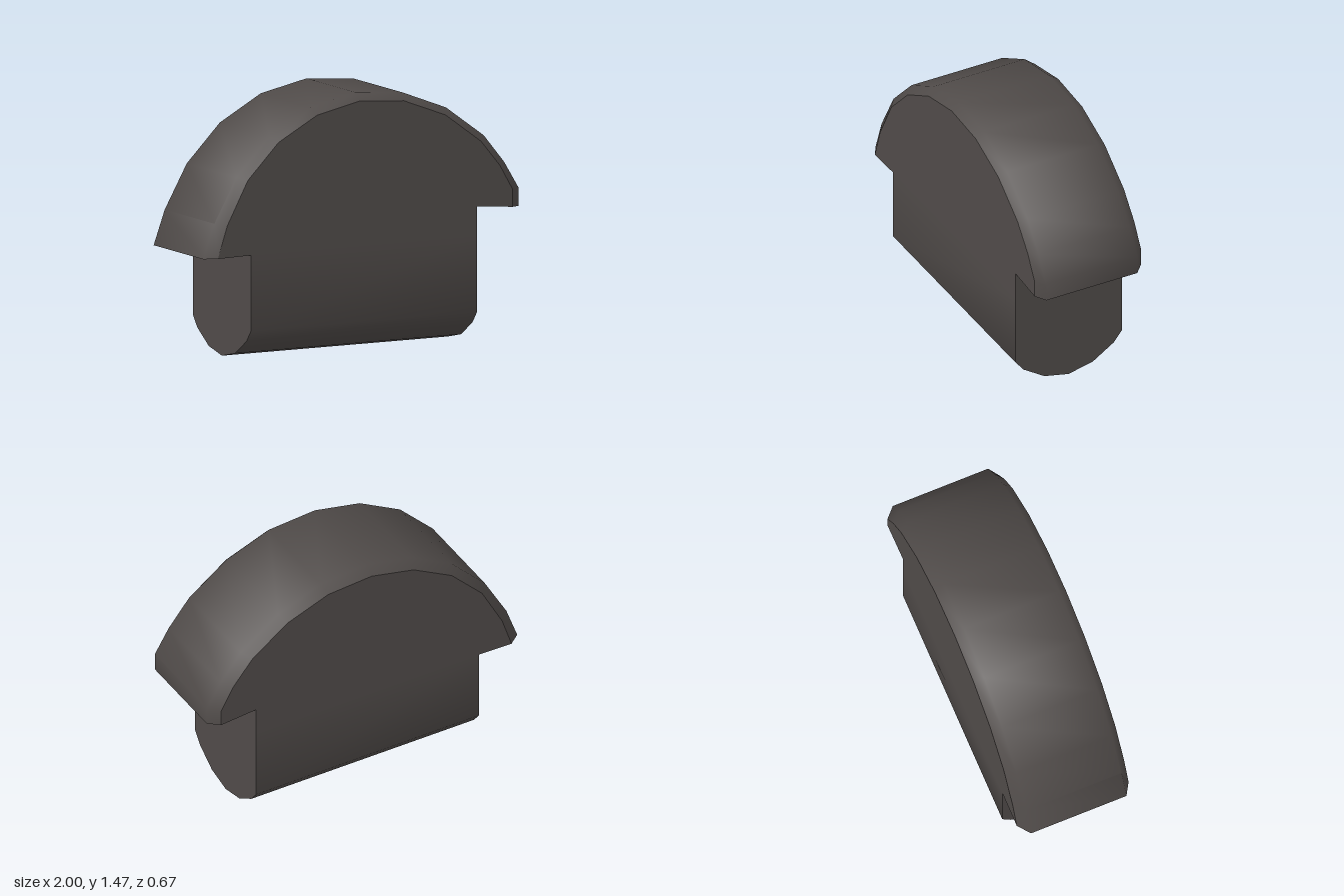
import * as THREE from 'three';
import { toCreasedNormals } from 'three/addons/utils/BufferGeometryUtils.js';

const DEPTH = 0.337, FRONT = 0.295, BACK = -0.28;   // flat faces and chamfer lines
const LEFT = -0.72, RIGHT = 0.715, NECK = 0.612;    // stem sides and top

// Arched outline: outer edge x, y, then the chamfered edge x, y
const arc = [
  [-1, 0.605, -0.93, 0.607], [-0.93, 0.80, -0.87, 0.79], [-0.79, 1.05, -0.74, 1.035],
  [-0.58, 1.265, -0.545, 1.235], [-0.32, 1.41, -0.30, 1.37], [-0.03, 1.472, -0.03, 1.43],
  [0.265, 1.45, 0.25, 1.41], [0.54, 1.345, 0.515, 1.31], [0.78, 1.17, 0.74, 1.145],
  [0.91, 1.01, 0.86, 1.0], [1, 0.86, 0.94, 0.86], [1, 0.755, 0.94, 0.76],
];

// Skin joining successive cross-sections of equal point count
function skin(sections, crease) {
  const pos = [];
  for (let i = 0; i < sections.length - 1; i++) {
    for (let j = 0; j < sections[0].length - 1; j++) {
      const a = sections[i][j], b = sections[i + 1][j];
      const c = sections[i + 1][j + 1], d = sections[i][j + 1];
      pos.push(...a, ...b, ...c, ...a, ...c, ...d);
    }
  }
  const g = new THREE.BufferGeometry();
  g.setAttribute('position', new THREE.Float32BufferAttribute(pos, 3));
  return toCreasedNormals(g, crease);
}

const plate = (pts) => new THREE.ShapeGeometry(
  new THREE.Shape(pts.map(([x, y]) => new THREE.Vector2(x, y))));

// Four points across the thickness, front to back
const across = (x, y, ix = x, iy = y) =>
  [[ix, iy, DEPTH], [x, y, FRONT], [x, y, BACK], [ix, iy, -DEPTH]];

export function createModel() {
  const model = new THREE.Group();
  const darkMetal = new THREE.MeshStandardMaterial({ color: 0x504b49 });
  darkMetal.name = 'darkMetal';
  const add = (parent, name, geometry) => {
    const mesh = new THREE.Mesh(geometry, darkMetal);
    mesh.name = name;
    parent.add(mesh);
  };

  // Arched head with chamfered rim
  const head = new THREE.Group();
  head.name = 'head';
  const rim = arc.map((p) => across(...p));
  add(head, 'archedRim', skin(rim, 1.0));

  // Flat cheeks
  const cheek = [...arc.map((p) => [p[2], p[3]]), [RIGHT, 0.78], [RIGHT, NECK], [LEFT, NECK]];
  add(head, 'frontCheek', plate(cheek).translate(0, 0, DEPTH));
  add(head, 'backCheek',
    plate(cheek.map(([x, y]) => [-x, y])).rotateY(Math.PI).translate(0, 0, -DEPTH));

  // Undersides of the two overhangs
  add(head, 'rightOverhang', skin([across(LEFT, NECK), rim[0]], 0.3));
  add(head, 'leftOverhang',
    skin([rim[rim.length - 1], across(RIGHT, 0.78), across(RIGHT, NECK)], 0.3));
  model.add(head);

  // Stem with rounded bottom; profile runs z, y from back to front
  const stem = new THREE.Group();
  stem.name = 'stem';
  const half = [[-DEPTH, NECK], [-DEPTH, 0.185], [-0.285, 0.12], [-0.153, 0.034]];
  const profile = [...half, [0, 0], ...half.map(([z, y]) => [-z, y]).reverse()];
  add(stem, 'roundedBody',
    skin([LEFT, RIGHT].map((x) => profile.map(([z, y]) => [x, y, z])), 0.9));
  add(stem, 'leftEnd', plate(profile).rotateY(Math.PI / 2).translate(RIGHT, 0, 0));
  add(stem, 'rightEnd', plate(profile).rotateY(-Math.PI / 2).translate(LEFT, 0, 0));
  model.add(stem);

  return model;
}
